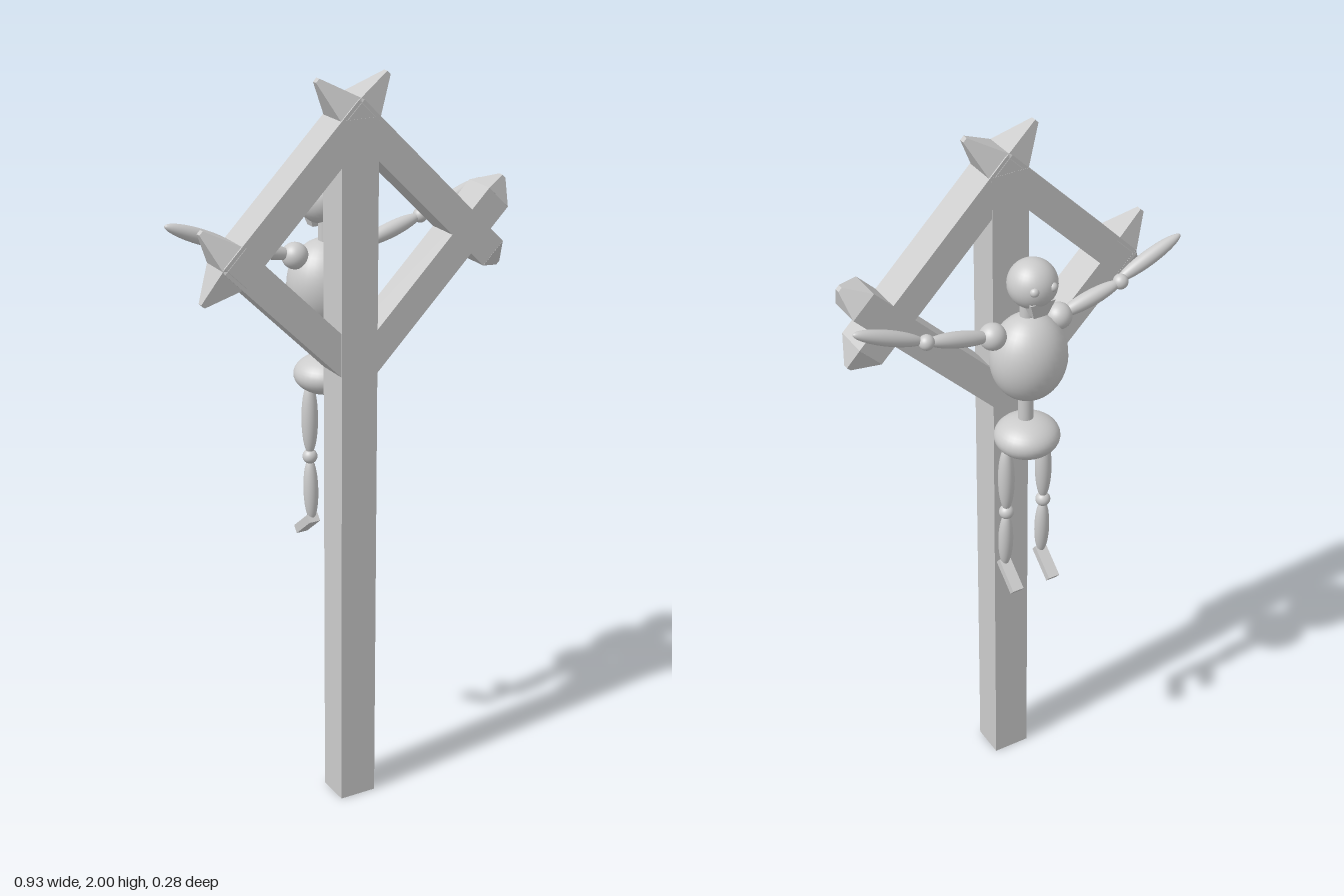
import * as THREE from 'three';

const smooth = new THREE.MeshStandardMaterial({ color: 0xcccccc });
const flat = new THREE.MeshStandardMaterial({ color: 0xcccccc, flatShading: true });
const UP = new THREE.Vector3(0, 1, 0);
const V = (x, y, z) => new THREE.Vector3(x, y, z);

function add(parent, name, geometry, material, x, y, z) {
  const mesh = new THREE.Mesh(geometry, material);
  mesh.name = name;
  mesh.position.set(x, y, z);
  parent.add(mesh);
  return mesh;
}

function ball(parent, name, p, rx, ry = rx, rz = rx) {
  const mesh = add(parent, name, new THREE.SphereGeometry(1, 32, 20), smooth, p.x, p.y, p.z);
  mesh.scale.set(rx, ry, rz);
  return mesh;
}

// Spindle-shaped limb stretched between two points
function limb(parent, name, a, b, r) {
  const mid = a.clone().add(b).multiplyScalar(0.5);
  const mesh = ball(parent, name, mid, r, a.distanceTo(b) / 2, r);
  mesh.quaternion.setFromUnitVectors(UP, b.clone().sub(a).normalize());
}

// Square blunt-tipped pyramid standing on y = 0
function capGeometry(width, depth, height, tip) {
  const g = new THREE.CylinderGeometry(tip * Math.SQRT1_2, Math.SQRT1_2, height, 4);
  return g.rotateY(Math.PI / 4).translate(0, height / 2, 0).scale(width, 1, depth);
}

function buildCross() {
  const cross = new THREE.Group();
  cross.name = 'cross';
  const cx = -0.017, cy = 1.571, h = 0.325, z = 0.0925, depth = 0.095, w = 0.082;
  add(cross, 'post', new THREE.BoxGeometry(0.104, 1.9, depth), flat, -0.02, 0.95, z);

  const top = V(cx, cy + h, z), bottom = V(cx, cy - h, z);
  const left = V(cx + h, cy, z), right = V(cx - h, cy, z);

  // Diagonal beam; each end is [overrun past the crossing, cap height] or null
  function beam(name, a, b, startCap, endCap) {
    const group = new THREE.Group();
    group.name = name;
    group.position.copy(a);
    group.quaternion.setFromUnitVectors(UP, b.clone().sub(a).normalize());
    const length = a.distanceTo(b);
    const y0 = startCap ? -startCap[0] : 0;
    const y1 = length + (endCap ? endCap[0] : 0);
    add(group, name + 'Bar', new THREE.BoxGeometry(w, y1 - y0, depth - 0.001), flat, 0, (y0 + y1) / 2, 0);
    if (startCap) {
      add(group, 'spike', capGeometry(w, depth, startCap[1], 0.16), flat, 0, y0, 0).rotation.z = Math.PI;
    }
    if (endCap) add(group, 'spike', capGeometry(w, depth, endCap[1], 0.16), flat, 0, y1, 0);
    cross.add(group);
  }
  beam('upperRightBeam', right, top, [0.03, 0.1], [0.03, 0.11]);
  beam('upperLeftBeam', left, top, [0.095, 0.06], [0.03, 0.11]);
  beam('lowerRightBeam', bottom, right, null, [0.03, 0.1]);
  beam('lowerLeftBeam', bottom, left, null, [0.112, 0.058]);
  return cross;
}

function buildFigure() {
  const figure = new THREE.Group();
  figure.name = 'figure';
  const x = -0.016, z = -0.043;

  // Trunk
  ball(figure, 'torso', V(x, 1.432, -0.049), 0.102, 0.121, 0.093);
  ball(figure, 'hips', V(x, 1.187, z), 0.087, 0.053, 0.085);
  add(figure, 'spine', new THREE.CylinderGeometry(0.02, 0.02, 0.16, 24), smooth, x, 1.27, -0.036);
  add(figure, 'neck', new THREE.CylinderGeometry(0.02, 0.02, 0.12, 24), smooth, x, 1.57, z);

  // Head, looking towards -z
  ball(figure, 'head', V(x, 1.653, -0.065), 0.064);
  const jaw = add(figure, 'jaw', capGeometry(0.07, 0.05, 0.045, 0.55), flat, x, 1.622, -0.092);
  jaw.rotation.x = Math.PI;
  for (const s of [-1, 1]) {
    ball(figure, 'eye', V(x + s * 0.026, 1.661, -0.118), 0.012);
  }

  for (const s of [-1, 1]) {
    // Raised arm
    const shoulder = V(-0.01 + s * 0.095, 1.52, -0.045);
    const elbow = V(-0.003 + s * 0.277, 1.571, -0.056);
    ball(figure, 'shoulder', shoulder, 0.035);
    limb(figure, 'upperArm', shoulder, elbow, 0.021);
    ball(figure, 'elbow', elbow, 0.02);
    limb(figure, 'forearm', V(s * 0.274, 1.568, -0.046), V(s * 0.463, 1.648, -0.046), 0.02);

    // Hanging leg
    const lx = -0.01 + s * 0.056;
    limb(figure, 'thigh', V(lx, 1.17, z), V(lx, 0.965, z), 0.022);
    ball(figure, 'knee', V(lx, 0.96, z), 0.02);
    limb(figure, 'shin', V(lx, 0.955, z), V(lx, 0.775, -0.035), 0.02);
    const foot = add(figure, 'foot', new THREE.BoxGeometry(0.032, 0.023, 0.095), flat, lx, 0.757, -0.062);
    foot.rotation.x = -0.68;
  }
  return figure;
}

export function createModel() {
  const model = new THREE.Group();
  model.name = 'hangingFigureOnCross';
  model.add(buildCross(), buildFigure());
  return model;
}
